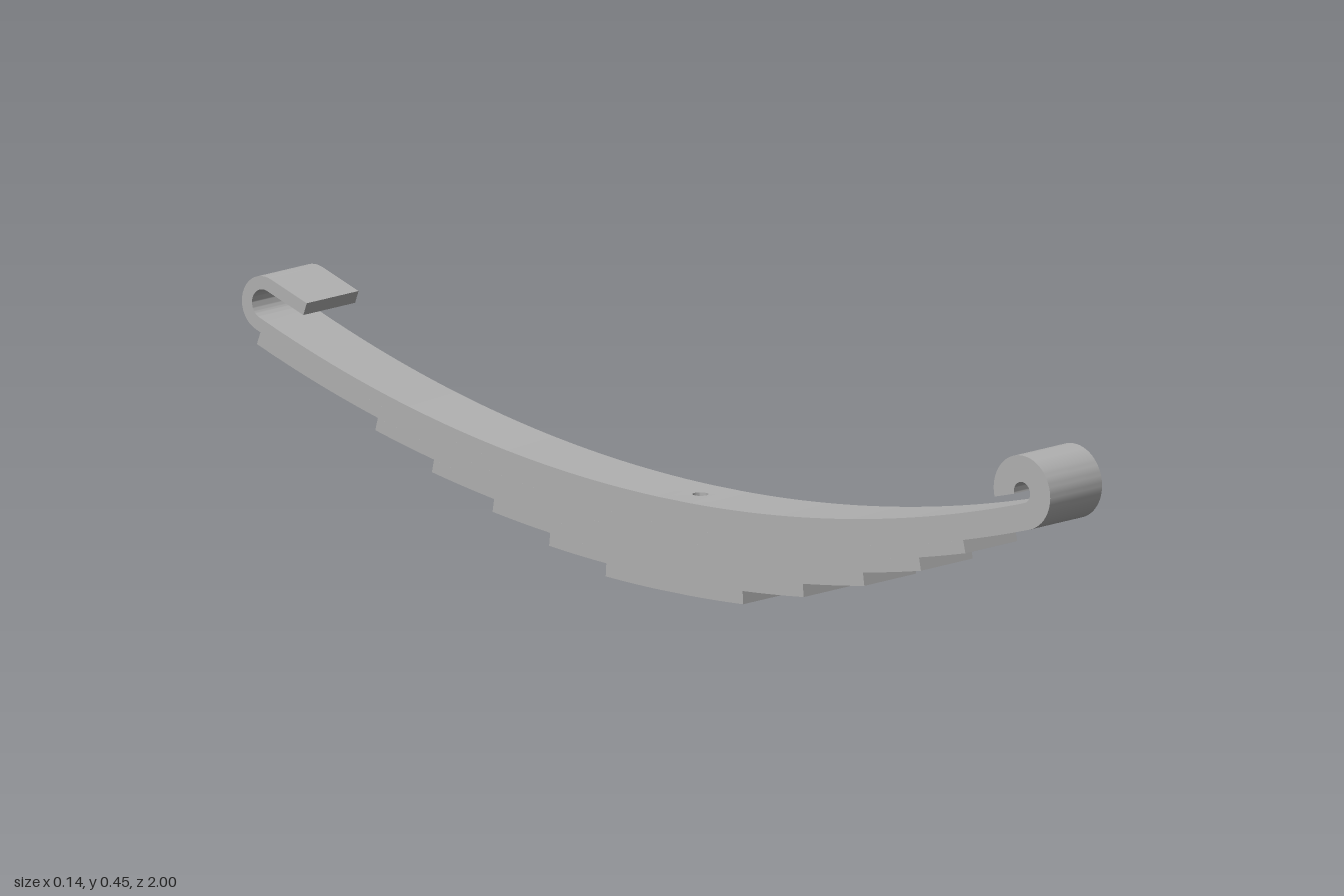
import * as THREE from 'three';
import { toCreasedNormals, mergeGeometries } from 'three/addons/utils/BufferGeometryUtils.js';

const T = 0.025;                       // leaf thickness
const W = 0.144;                       // leaf width
const CZ = 0.107, CY = 3.125;          // shared centre of all leaf arcs
const BOLT = -0.0123, PATCH = 0.013;   // bolt hole position and half patch, as angles
const DOWN = -Math.PI / 2;

// Points on an arc in the z/y plane: o on the outer face, i on the inner face
function arc(cz, cy, r, a0, a1, n) {
  const pts = [];
  for (let k = 0; k <= n; k++) {
    const a = a0 + (a1 - a0) * k / n, c = Math.cos(a), s = Math.sin(a);
    pts.push({
      o: new THREE.Vector2(cz + r * c, cy + r * s),
      i: new THREE.Vector2(cz + (r - T) * c, cy + (r - T) * s),
    });
  }
  return pts;
}

// Side profile of a strip extruded across the width
function strip(pts) {
  const shape = new THREE.Shape([...pts.map(p => p.o), ...pts.map(p => p.i).reverse()]);
  const geo = new THREE.ExtrudeGeometry(shape, { depth: W, bevelEnabled: false });
  geo.translate(0, 0, -W / 2);
  return geo.rotateY(-Math.PI / 2);
}

// Short middle piece with the bolt hole, bent onto the leaf arc
function boltPatch(r) {
  const h = PATCH * r, shape = new THREE.Shape();
  shape.moveTo(-h, -W / 2).lineTo(h, -W / 2).lineTo(h, W / 2).lineTo(-h, W / 2).closePath();
  shape.holes.push(new THREE.Path().absarc(0, 0, 0.015, 0, Math.PI * 2, true));
  const geo = new THREE.ExtrudeGeometry(shape, { depth: T, bevelEnabled: false, curveSegments: 24 });
  const p = geo.attributes.position;
  for (let k = 0; k < p.count; k++) {
    const phi = BOLT + p.getX(k) / r, rad = r - p.getZ(k);
    p.setXYZ(k, p.getY(k), CY - rad * Math.cos(phi), CZ + rad * Math.sin(phi));
  }
  return geo;
}

export function createModel() {
  const group = new THREE.Group();
  const steel = new THREE.MeshStandardMaterial({ color: 0xb0b0b0 });
  steel.name = 'steel grey';

  // Rolled eye at the front and open hook at the back
  const eyeR = 0.07, eyePhi = Math.asin((0.93 - CZ) / (3 - eyeR));
  const eyeZ = 0.93, eyeY = CY - (3 - eyeR) * Math.cos(eyePhi);
  const eyeEnd = Math.PI * 1.08;
  const hookR = 0.053, hookZ = -0.947, hookPhi = Math.asin((hookZ - CZ) / (2.975 - hookR));
  const hookY = CY - (2.975 - hookR) * Math.cos(hookPhi);

  // Leaf ends from the bottom leaf up: [name, back z, front z]; null ends are rolled
  const leaves = [
    ['bottomLeaf', -0.10, 0.24],
    ['sixthLeaf', -0.24, 0.39],
    ['fifthLeaf', -0.38, 0.54],
    ['fourthLeaf', -0.53, 0.68],
    ['thirdLeaf', -0.67, 0.79],
    ['wrapperLeaf', -0.963, null],
    ['mainLeaf', null, null],
  ];

  leaves.forEach(([name, back, front], n) => {
    const r = CY - n * T;
    const phiB = back === null ? hookPhi : Math.asin((back - CZ) / r);
    const phiF = front === null ? eyePhi : Math.asin((front - CZ) / r);
    let rear = arc(CZ, CY, r, DOWN + phiB, DOWN + BOLT - PATCH, 32);
    let fore = arc(CZ, CY, r, DOWN + BOLT + PATCH, DOWN + phiF, 32);

    if (front === null) {
      const eye = arc(eyeZ, eyeY, r - 3 + eyeR, DOWN + eyePhi, eyeEnd, 48);
      fore = [...fore, ...eye.slice(1)];
    }
    if (back === null) {
      const a = -Math.PI * 290 / 180;
      const hook = arc(hookZ, hookY, hookR, a, DOWN + hookPhi, 40);
      const run = new THREE.Vector2(Math.sin(a), -Math.cos(a)).multiplyScalar(0.095);
      const tip = { o: hook[0].o.clone().add(run), i: hook[0].i.clone().add(run) };
      rear = [tip, ...hook.slice(0, -1), ...rear];
    }

    const geo = mergeGeometries([strip(rear), boltPatch(r), strip(fore)]);
    const mesh = new THREE.Mesh(toCreasedNormals(geo, 0.5), steel);
    mesh.name = name;
    group.add(mesh);
  });

  group.name = 'leafSpring';
  return group;
}
